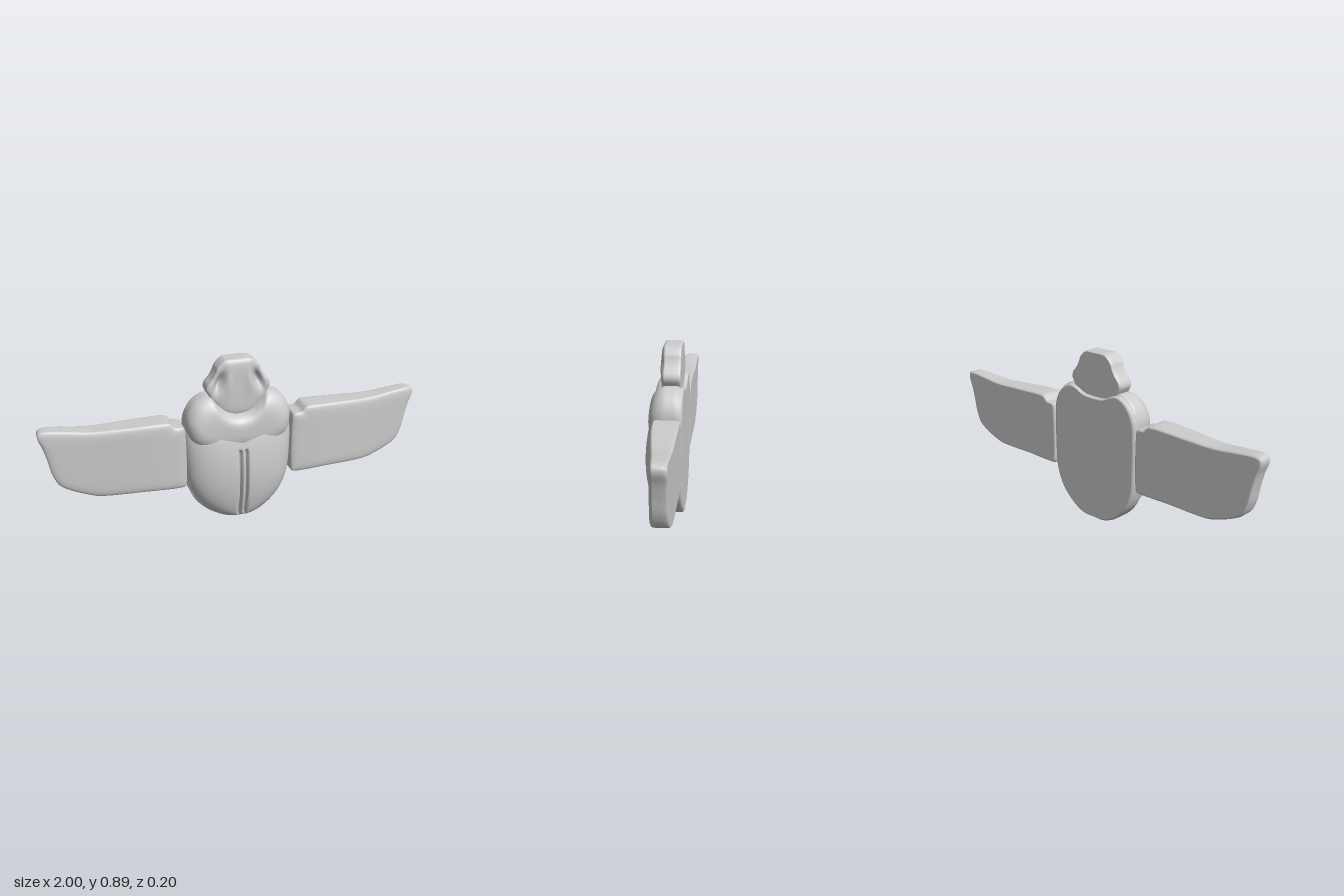
import * as THREE from 'three';

const material = new THREE.MeshStandardMaterial({ color: 0xcccccc, side: THREE.DoubleSide });

// Soft dome profile: 1 in the middle, 0 at the rim; higher p gives a flatter top
const dome = (t, p) => Math.sqrt(Math.max(0, 1 - Math.pow(t, p)));
const bump = (d, w) => Math.exp(-(d * d) / (w * w));

// Mirror a right-hand outline (bottom to top, first and last on x = 0)
const mirrored = (half) => [
  ...half,
  ...half.slice(1, -1).reverse().map(([x, y]) => [-x, y]),
];

// Flat-backed carved slab: rings shrink from the outline onto a spine,
// and front(x, y, t) gives the relief height, t = 1 at the rim
function relief(name, outline, { centre, spine = [0, 0], back, front, count = 200 }) {
  const curve = new THREE.CatmullRomCurve3(
    outline.map(([x, y]) => new THREE.Vector3(x, y, 0)), true, 'centripetal');
  curve.arcLengthDivisions = 800;
  const rim = curve.getSpacedPoints(count).slice(0, count);
  const [cx, cy] = centre;
  const [kx, ky] = spine;
  const at = (p, t) => [
    cx + (p.x - cx) * (kx + (1 - kx) * t),
    cy + (p.y - cy) * (ky + (1 - ky) * t),
  ];

  const rings = [];
  const addRing = (t, height) => rings.push(rim.map((p) => {
    const [x, y] = at(p, t);
    return [x, y, height(x, y)];
  }));
  // Flat back with a small rounded edge
  for (const t of [0, 0.5, 0.94, 0.955]) addRing(t, () => back);
  addRing(0.985, () => back + 0.004);
  addRing(1, () => back + 0.014);
  // Side wall, then the front relief
  for (const k of [0.35, 0.7]) {
    addRing(1, (x, y) => THREE.MathUtils.lerp(back + 0.014, front(x, y, 1), k));
  }
  const steps = 26;
  const ts = [];
  for (let i = 0; i <= steps; i++) ts.push(Math.cos((i / steps) * Math.PI / 2));
  for (let t = 0.012; t < 0.14; t += 0.012) ts.push(t);
  ts.sort((a, b) => b - a);
  for (const t of ts) addRing(t, (x, y) => front(x, y, t));

  const index = [];
  for (let i = 0; i < rings.length - 1; i++) {
    for (let j = 0; j < count; j++) {
      const k = (j + 1) % count;
      const a = i * count + j, b = i * count + k;
      const c = b + count, d = a + count;
      index.push(a, b, c, a, c, d);
    }
  }
  const geometry = new THREE.BufferGeometry();
  geometry.setAttribute('position', new THREE.Float32BufferAttribute(rings.flat(2), 3));
  geometry.setIndex(index);
  geometry.computeVertexNormals();
  const mesh = new THREE.Mesh(geometry, material);
  mesh.name = name;
  return mesh;
}

export function createModel() {
  const group = new THREE.Group();
  group.name = 'wingedScarab';

  // Flat base plate behind the whole body
  group.add(relief('bodyBase', mirrored([
    [0, 0.003], [0.07, 0.004], [0.15, 0.04], [0.23, 0.12], [0.27, 0.22], [0.278, 0.35], [0.278, 0.5],
    [0.27, 0.59], [0.23, 0.66], [0.17, 0.695], [0.13, 0.69], [0.07, 0.665], [0, 0.66],
  ]), {
    centre: [0, 0.35], spine: [0, 0.5], back: -0.1,
    front: (x, y, t) => -0.025 + 0.02 * dome(t, 8),
  }));

  // Wing cases: one dome with a central slot that holds a thin ridge
  group.add(relief('wingCases', mirrored([
    [0, 0.008], [0.07, 0.012], [0.15, 0.05], [0.225, 0.13], [0.267, 0.23], [0.28, 0.35], [0.28, 0.5],
    [0.272, 0.528], [0.25, 0.522], [0.2, 0.485], [0.12, 0.45], [0, 0.438],
  ]), {
    centre: [0, 0.24], spine: [0, 0.78], back: -0.06,
    front: (x, y, t) => {
      const slope = 1 - 0.4 * Math.pow((y - 0.29) / 0.28, 2);
      const ends = THREE.MathUtils.smoothstep(y, 0.02, 0.05)
        * (1 - THREE.MathUtils.smoothstep(y, 0.41, 0.435));
      const slot = 0.022 * ends * bump(Math.abs(x) - 0.016, 0.008);
      return -0.02 + 0.122 * slope * dome(t, 2.6) - slot;
    },
  }));

  // Thorax: a crescent cushion notched for the head
  group.add(relief('thorax', mirrored([
    [0, 0.40], [0.18, 0.41], [0.255, 0.47], [0.276, 0.55], [0.268, 0.61], [0.235, 0.665], [0.19, 0.695],
    [0.15, 0.702], [0.12, 0.67], [0.065, 0.62], [0, 0.602],
  ]), {
    centre: [0, 0.52], spine: [0.6, 0], back: -0.08,
    front: (x, y, t) => -0.02 + 0.092 * dome(t, 3),
  }));

  // Head with a hollow at each eye and a raised brow beside it
  group.add(relief('head', mirrored([
    [0, 0.585], [0.07, 0.60], [0.13, 0.665], [0.15, 0.70], [0.166, 0.735], [0.16, 0.76], [0.135, 0.79],
    [0.118, 0.82], [0.105, 0.85], [0.07, 0.882], [0.05, 0.886], [0, 0.886],
  ]), {
    centre: [0, 0.735], spine: [0, 0.3], back: -0.082,
    front: (x, y, t) => {
      const ax = Math.abs(x);
      const hollow = 0.036 * bump(ax - (0.1 - 0.35 * (y - 0.77)), 0.022) * bump(y - 0.77, 0.05);
      const brow = 0.006 * bump(ax - 0.055, 0.02) * bump(y - 0.77, 0.07);
      return -0.004 + 0.023 * dome(t, 5) - hollow + brow;
    },
  }));

  // Spread wings, thinning towards the tips
  const wing = [
    [0.287, 0.235], [0.292, 0.23], [0.5, 0.23], [0.72, 0.23], [0.76, 0.238], [0.86, 0.275], [0.915, 0.31],
    [0.945, 0.37], [0.962, 0.45], [0.98, 0.52], [0.998, 0.57], [0.996, 0.595], [0.975, 0.605],
    [0.88, 0.6], [0.75, 0.587], [0.6, 0.59], [0.39, 0.596], [0.36, 0.592], [0.335, 0.568],
    [0.292, 0.562], [0.287, 0.555],
  ];
  for (const [name, s] of [['leftWing', 1], ['rightWing', -1]]) {
    const outline = wing.map(([x, y]) => [s * x, y]);
    if (s < 0) outline.reverse();
    group.add(relief(name, outline, {
      centre: [s * 0.63, 0.415], spine: [0.45, 0], back: -0.1,
      front: (x, y, t) => {
        const thin = THREE.MathUtils.smoothstep(Math.abs(x), 0.35, 1.1);
        return 0.02 - 0.062 * thin + 0.017 * dome(t, 9);
      },
    }));
  }
  return group;
}
